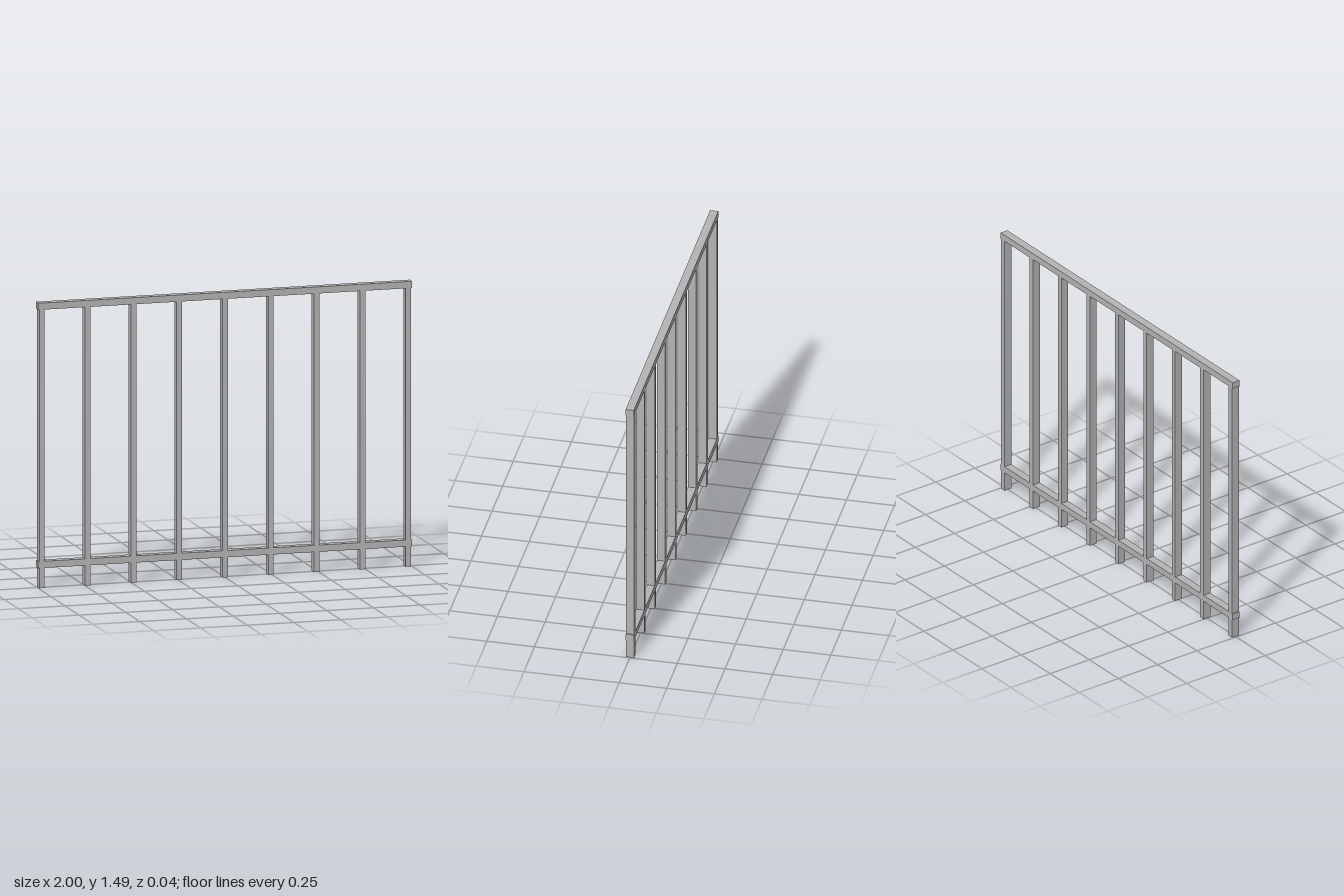
import * as THREE from 'three';

const DEPTH = 0.043;       // shared thickness of rails and bars
const HEIGHT = 1.49;
const RAIL_H = 0.035;
const LOWER_Y = 0.105;     // underside of the lower rail
const BAR_W = 0.029;
const BAR_COUNT = 9;
const SPACING = 0.245;

export function createModel() {
  const model = new THREE.Group();
  model.name = 'railing';

  const metal = new THREE.MeshStandardMaterial({ color: 0xb4b4b4 });
  metal.name = 'grey metal';

  // Box standing between two heights, centred on x
  function addBox(name, width, bottom, top, x) {
    const mesh = new THREE.Mesh(new THREE.BoxGeometry(width, top - bottom, DEPTH), metal);
    mesh.name = name;
    mesh.position.set(x, (bottom + top) / 2, 0);
    model.add(mesh);
  }

  // Horizontal rails
  addBox('topRail', 2, HEIGHT - RAIL_H, HEIGHT, 0);
  addBox('lowerRail', 2, LOWER_Y, LOWER_Y + RAIL_H, 0);

  // Upright bars between the rails, with feet below the lower rail
  for (let i = 0; i < BAR_COUNT; i++) {
    const x = (i - (BAR_COUNT - 1) / 2) * SPACING;
    addBox('bar', BAR_W, LOWER_Y + RAIL_H, HEIGHT - RAIL_H, x);
    addBox('foot', BAR_W, 0, LOWER_Y, x);
  }

  return model;
}
